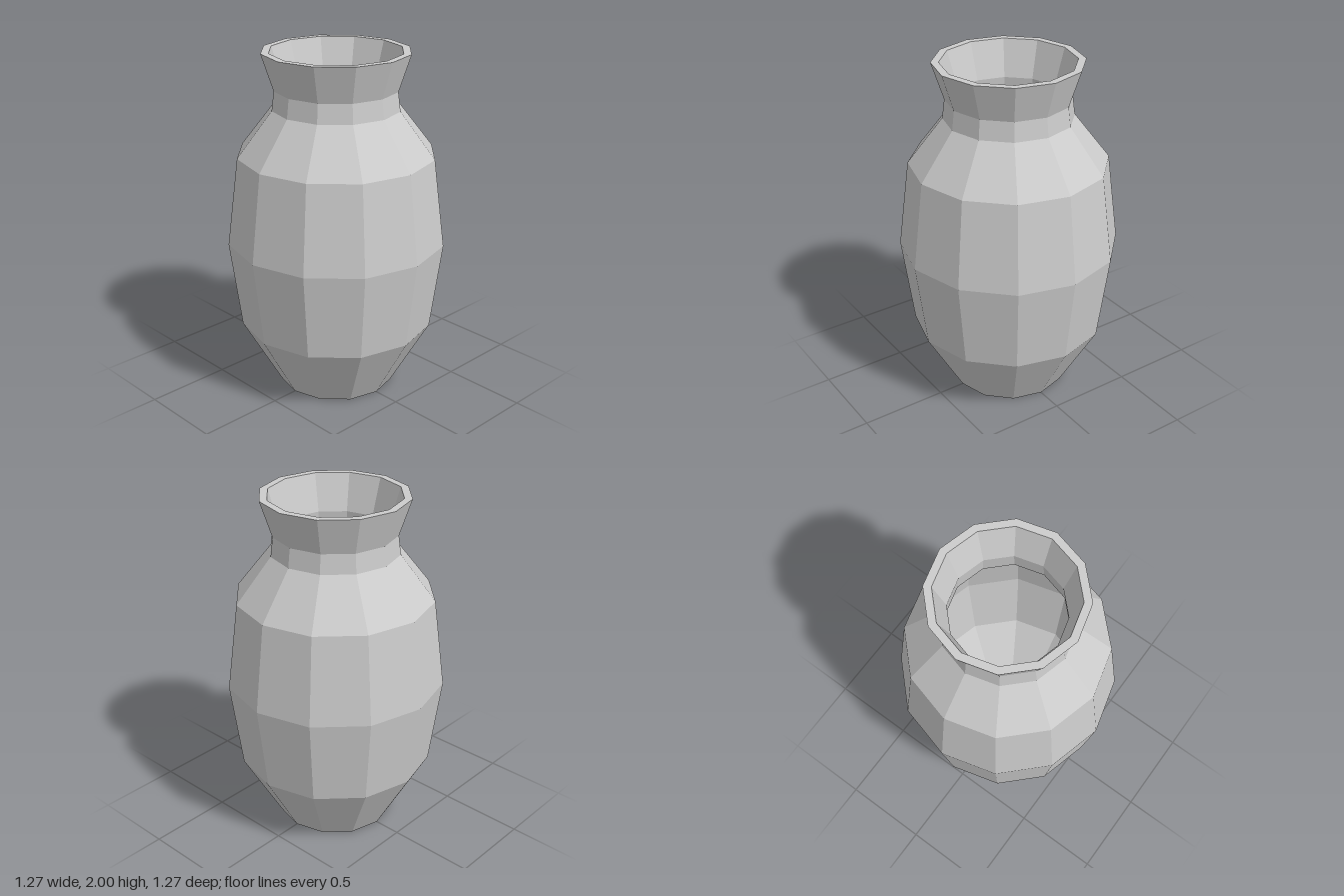
import * as THREE from 'three';

const SIDES = 12;

export function createModel() {
  const group = new THREE.Group();
  group.name = 'vase';
  const material = new THREE.MeshStandardMaterial({ color: 0xcccccc, flatShading: true });

  // Closed wall profile [radius, height]: base, outer wall, rim, inner wall, floor
  const profile = [
    [0, 0], [0.342, 0], [0.567, 0.4], [0.633, 0.912], [0.567, 1.42],
    [0.366, 1.68], [0.352, 1.79], [0.42, 2],
    [0.376, 2], [0.313, 1.79], [0.327, 1.66], [0.526, 1.4],
    [0.591, 0.912], [0.526, 0.41], [0.304, 0.04], [0, 0.04],
  ].map(([r, y]) => new THREE.Vector2(r, y));

  const body = new THREE.Mesh(new THREE.LatheGeometry(profile, SIDES), material);
  body.name = 'vaseBody';
  group.add(body);
  return group;
}
